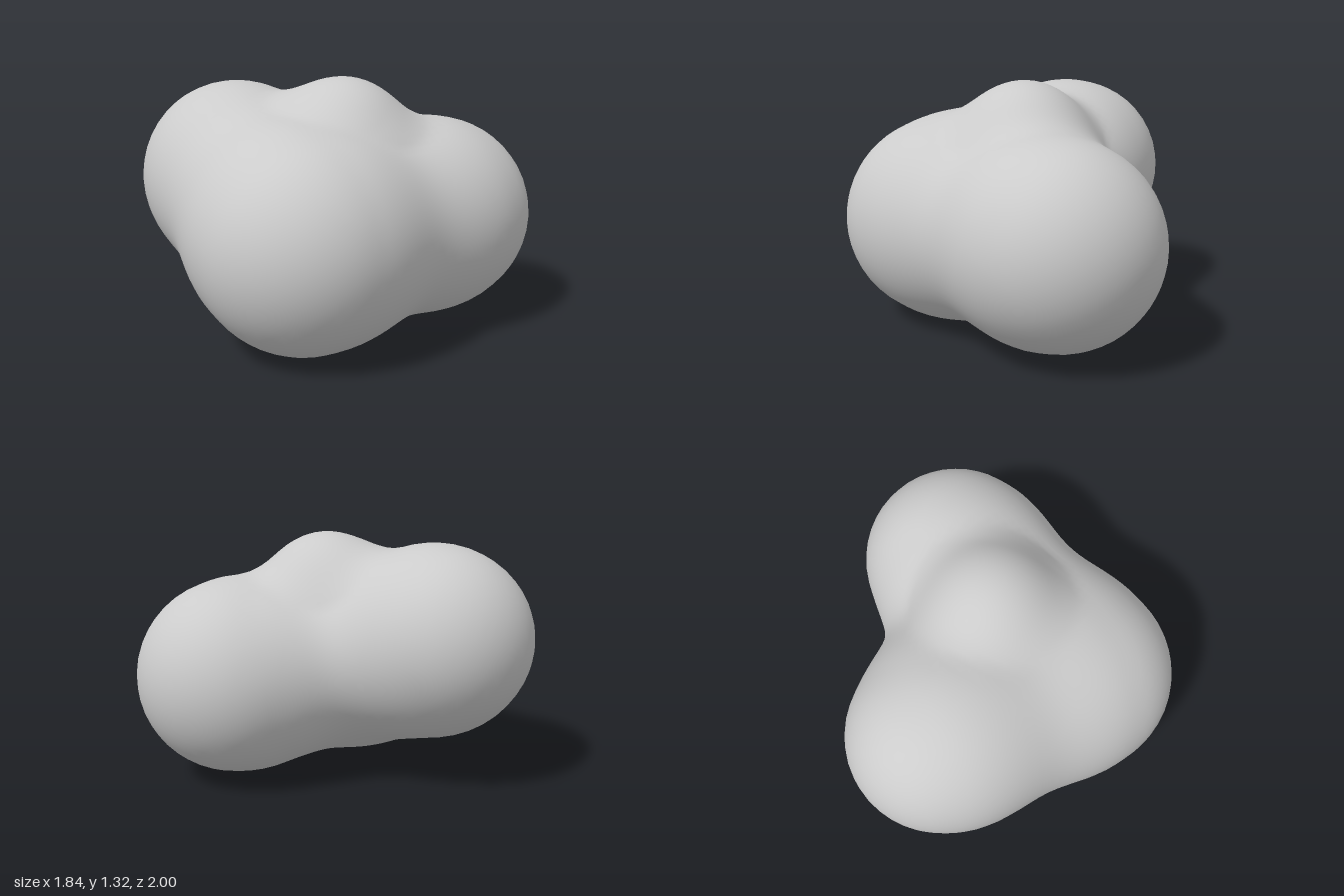
import * as THREE from 'three';
import { mergeVertices } from 'three/addons/utils/BufferGeometryUtils.js';

// Blended balls: centre and strength
const balls = [
  { c: new THREE.Vector3(-0.435, 0.775, 0.285), s: 0.315 }, // side lobe
  { c: new THREE.Vector3(0.36, 0.555, 0.445), s: 0.395 }, // front lobe
  { c: new THREE.Vector3(0.35, 0.567, -0.482), s: 0.35 }, // back lobe
  { c: new THREE.Vector3(0.17, 1.055, 0.0), s: 0.06 }, // small crown
];
const FALLOFF = 0.3;

// Sum of the balls' pull at a point; the skin lies where it equals 1
const field = (p) => balls.reduce(
  (sum, b) => sum + Math.max(0, b.s / (p.distanceToSquared(b.c) + 1e-6) - FALLOFF), 0);

// Distance from the core to the skin along a direction
function skinDistance(core, dir) {
  const p = new THREE.Vector3();
  const inside = (t) => field(p.copy(core).addScaledVector(dir, t)) > 1;
  let hi = 0.2;
  while (hi < 1.6 && inside(hi)) hi += 0.02;
  let lo = hi - 0.02;
  for (let i = 0; i < 12; i++) {
    const mid = (lo + hi) / 2;
    if (inside(mid)) lo = mid; else hi = mid;
  }
  return lo;
}

export function createModel() {
  const group = new THREE.Group();
  group.name = 'blob';

  // Shared vertices give smooth normals
  let geo = new THREE.IcosahedronGeometry(1, 16);
  geo.deleteAttribute('uv');
  geo.deleteAttribute('normal');
  geo = mergeVertices(geo, 1e-4);

  // Push every point of the sphere out to the skin
  const core = new THREE.Vector3(0.14, 0.68, 0.05);
  const pos = geo.attributes.position;
  const dir = new THREE.Vector3();
  for (let i = 0; i < pos.count; i++) {
    dir.fromBufferAttribute(pos, i).normalize();
    const t = skinDistance(core, dir);
    dir.multiplyScalar(t).add(core);
    pos.setXYZ(i, dir.x, dir.y, dir.z);
  }
  geo.computeVertexNormals();

  const body = new THREE.Mesh(geo, new THREE.MeshStandardMaterial({ color: 0xcccccc }));
  body.name = 'blendedBody';
  group.add(body);
  return group;
}
